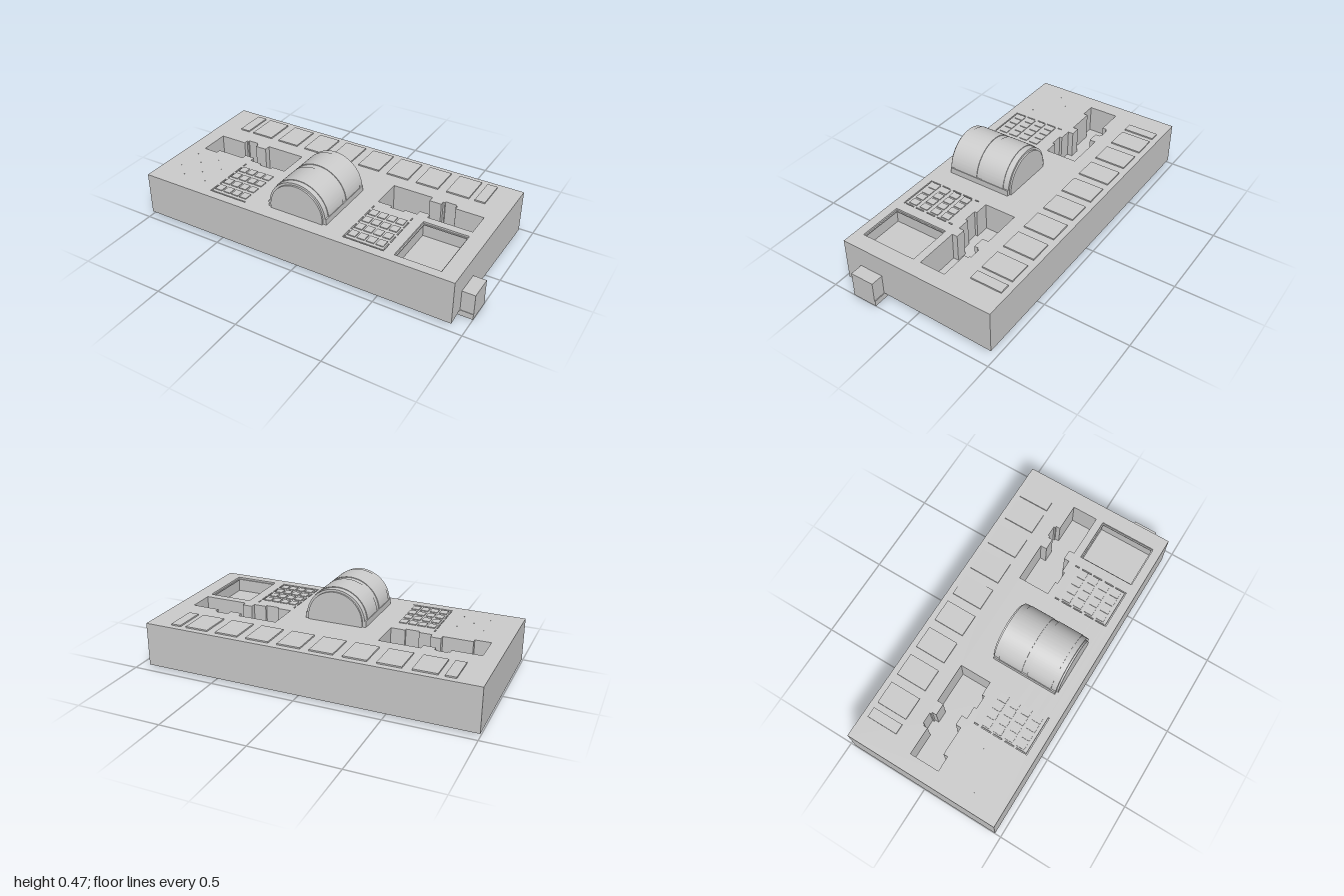
import * as THREE from 'three';
import { toCreasedNormals } from 'three/addons/utils/BufferGeometryUtils.js';

const TOP = 0.273, BOTTOM = 0.018, FLOOR = 0.104, CX = -0.037;
const X0 = -1, X1 = 0.926, ZH = 0.465;

export function createModel() {
  const model = new THREE.Group();
  const grey = new THREE.MeshStandardMaterial({ color: 0xcccccc, side: THREE.DoubleSide });
  grey.name = 'stone grey';

  const add = (name, geometry) => {
    const mesh = new THREE.Mesh(geometry, grey);
    mesh.name = name;
    model.add(mesh);
    return mesh;
  };
  // box given by its limits
  const box = (name, x0, x1, y0, y1, z0, z1) =>
    add(name, new THREE.BoxGeometry(x1 - x0, y1 - y0, z1 - z0))
      .position.set((x0 + x1) / 2, (y0 + y1) / 2, (z0 + z1) / 2);
  const points = (list) => list.map(([a, b]) => new THREE.Vector2(a, b));
  // flat sheet at height y from a shape drawn in (x, -z), facing up
  const sheet = (name, shape, y) => {
    const g = new THREE.ShapeGeometry(shape);
    g.rotateX(-Math.PI / 2).translate(0, y, 0);
    add(name, g);
  };
  const plan = (list) => points(list.map(([x, z]) => [x, -z]));
  const rect = (x0, x1, z0, z1) => [[x0, z0], [x1, z0], [x1, z1], [x0, z1]];

  // plan outlines (x, z) of the sunken areas
  const trench = [
    [-0.905, -0.12], [-0.74, -0.12], [-0.74, -0.145], [-0.73, -0.145], [-0.73, -0.155],
    [-0.665, -0.155], [-0.665, -0.145], [-0.655, -0.145], [-0.655, -0.12], [-0.585, -0.12],
    [-0.585, -0.157], [-0.347, -0.157], [-0.347, 0.032], [-0.43, 0.032], [-0.43, 0.047],
    [-0.51, 0.047], [-0.51, 0.032], [-0.585, 0.032], [-0.585, 0], [-0.645, 0], [-0.645, 0.032],
  ];
  const westEnd = [[-0.815, 0.032], [-0.815, 0.058], [-0.905, 0.058]];
  const eastEnd = [[-0.905, 0.032]];
  const mirror = (list) => list.map(([x, z]) => [2 * CX - x, z]);
  const pits = [
    { name: 'westTrench', outline: [...trench, ...westEnd], floor: FLOOR + 0.003 },
    { name: 'eastTrench', outline: mirror([...trench, ...eastEnd]), floor: FLOOR + 0.003 },
    { name: 'squarePit', outline: rect(0.57, 0.832, 0.077, 0.413), floor: 0.183 },
  ];
  // narrow slots beside the tile banks
  const slot = (x0, x1, z0, z1) => pits.push({ name: 'slot', outline: rect(x0, x1, z0, z1), floor: TOP - 0.015 });
  for (const x of [-0.587, 0.27, 0.503]) {
    for (const [z0, z1] of [[0.08, 0.105], [0.125, 0.185], [0.2, 0.255], [0.275, 0.33], [0.345, 0.4]]) slot(x, x + 0.007, z0, z1);
  }
  slot(-0.587, -0.35, 0.406, 0.413);
  slot(0.27, 0.51, 0.406, 0.413);

  // deck with openings
  const deck = new THREE.Shape(plan(rect(X0, X1, -ZH, ZH)));
  for (const p of pits) deck.holes.push(new THREE.Path(plan(p.outline)));
  sheet('deck', deck, TOP);

  // floors and walls of the openings
  for (const { name, outline, floor } of pits) {
    sheet(name + 'Floor', new THREE.Shape(plan(outline)), floor);
    outline.forEach(([x, z], i) => {
      const [x2, z2] = outline[(i + 1) % outline.length];
      const wall = add(name + 'Wall', new THREE.PlaneGeometry(Math.hypot(x2 - x, z2 - z), TOP - floor));
      wall.position.set((x + x2) / 2, (TOP + floor) / 2, (z + z2) / 2);
      wall.rotation.y = -Math.atan2(z2 - z, x2 - x);
    });
  }

  // thin rim around the square pit
  const rim = 0.007;
  box('pitRim', 0.57, 0.832, 0.255, 0.262, 0.077, 0.077 + rim);
  box('pitRim', 0.57, 0.832, 0.255, 0.262, 0.413 - rim, 0.413);
  box('pitRim', 0.57, 0.57 + rim, 0.255, 0.262, 0.077, 0.413);
  box('pitRim', 0.832 - rim, 0.832, 0.255, 0.262, 0.077, 0.413);

  // hollow skirt
  const t = 0.002;
  box('frontWall', X0, X1, BOTTOM, TOP, ZH - t, ZH);
  box('backWall', X0, X1, BOTTOM, TOP, -ZH, -ZH + t);
  box('westWall', X0, X0 + t, BOTTOM, TOP, -ZH, ZH);
  const eastShape = new THREE.Shape(points([
    [-ZH, TOP], [-ZH, BOTTOM], [-0.37, 0.034], [-0.2, 0.033], [0.1, 0.027], [0.45, BOTTOM], [ZH, BOTTOM], [ZH, TOP],
  ]));
  const east = new THREE.ExtrudeGeometry(eastShape, { depth: t, bevelEnabled: false });
  east.rotateY(Math.PI / 2).translate(X1 - t, 0, 0);
  add('eastWall', east);

  // underside: a main sheet and three panels hanging lower
  sheet('underside', new THREE.Shape(plan(rect(-0.942, X1 - t, -ZH + t, ZH - t))), FLOOR);
  box('middlePanel', -0.295, 0.09, FLOOR - 0.018, FLOOR, 0.02, ZH - t);
  box('eastPanel', 0, X1 - t, FLOOR - 0.034, FLOOR, -ZH + t, -0.1);
  box('westPanel', -0.942, -0.133, FLOOR - 0.034, FLOOR, -ZH + t, -0.135);

  // side block with its foot
  const foot = new THREE.Shape(points([
    [0.8, 0.018], [0.83, 0], [1, 0], [1, 0.033], [0.8, 0.033],
  ]));
  const footGeometry = new THREE.ExtrudeGeometry(foot, { depth: 0.15, bevelEnabled: false });
  footGeometry.translate(0, 0, 0.215);
  add('blockFoot', footGeometry);
  box('sideBlock', 0.9, 1, 0.03, 0.153, 0.22, 0.362);

  // row of raised plates along the back
  const plate = (x, w) => box('backPlate', x - w / 2, x + w / 2, TOP, TOP + 0.008, -0.43, -0.245);
  for (const side of [-1, 1]) {
    for (let i = 0; i < 4; i++) plate(CX + side * (0.094 + i * 0.188), 0.135);
    plate(CX + side * 0.79, 0.06);
  }

  // two banks of low raised tiles
  for (const x of [-0.572, 0.285]) {
    for (let row = 0; row < 4; row++) {
      const z = 0.118 + row * 0.073;
      for (let col = 0; col < 4; col++) {
        const left = x + col * 0.055;
        box('tile', left, left + 0.044, TOP, TOP + 0.005, z, z + 0.05);
      }
    }
  }

  // small studs on the open deck
  for (let i = 0; i < 8; i++) {
    const stud = add('stud', new THREE.CylinderGeometry(0.003, 0.003, 0.002, 8));
    stud.position.set(-0.9 + (i % 4) * 0.075, TOP + 0.001, 0.13 + Math.floor(i / 4) * 0.15 + (i % 2) * 0.07);
  }

  // barrel vault: recessed end walls, ribs and panels
  const arch = (name, r, z0, z1) => {
    const s = new THREE.Shape();
    s.moveTo(-r, TOP);
    s.lineTo(r, TOP);
    s.lineTo(r, 0.293);
    s.absarc(0, 0.293, r, 0, Math.PI, false);
    s.lineTo(-r, TOP);
    const g = new THREE.ExtrudeGeometry(s, { depth: z1 - z0, bevelEnabled: false, curveSegments: 40 });
    g.translate(CX, 0, z0);
    add(name, toCreasedNormals(g, 0.5));
  };
  arch('vaultEnds', 0.163, -0.034, 0.38);
  arch('vaultRibs', 0.176, -0.024, 0.37);
  arch('vaultPanel', 0.18, 0.01, 0.155);
  arch('vaultPanel', 0.18, 0.19, 0.34);
  for (const side of [-1, 1]) {
    const x = CX + side * 0.177;
    box('vaultSkirting', x - 0.006, x + 0.006, TOP, 0.308, -0.024, 0.37);
  }

  return model;
}
